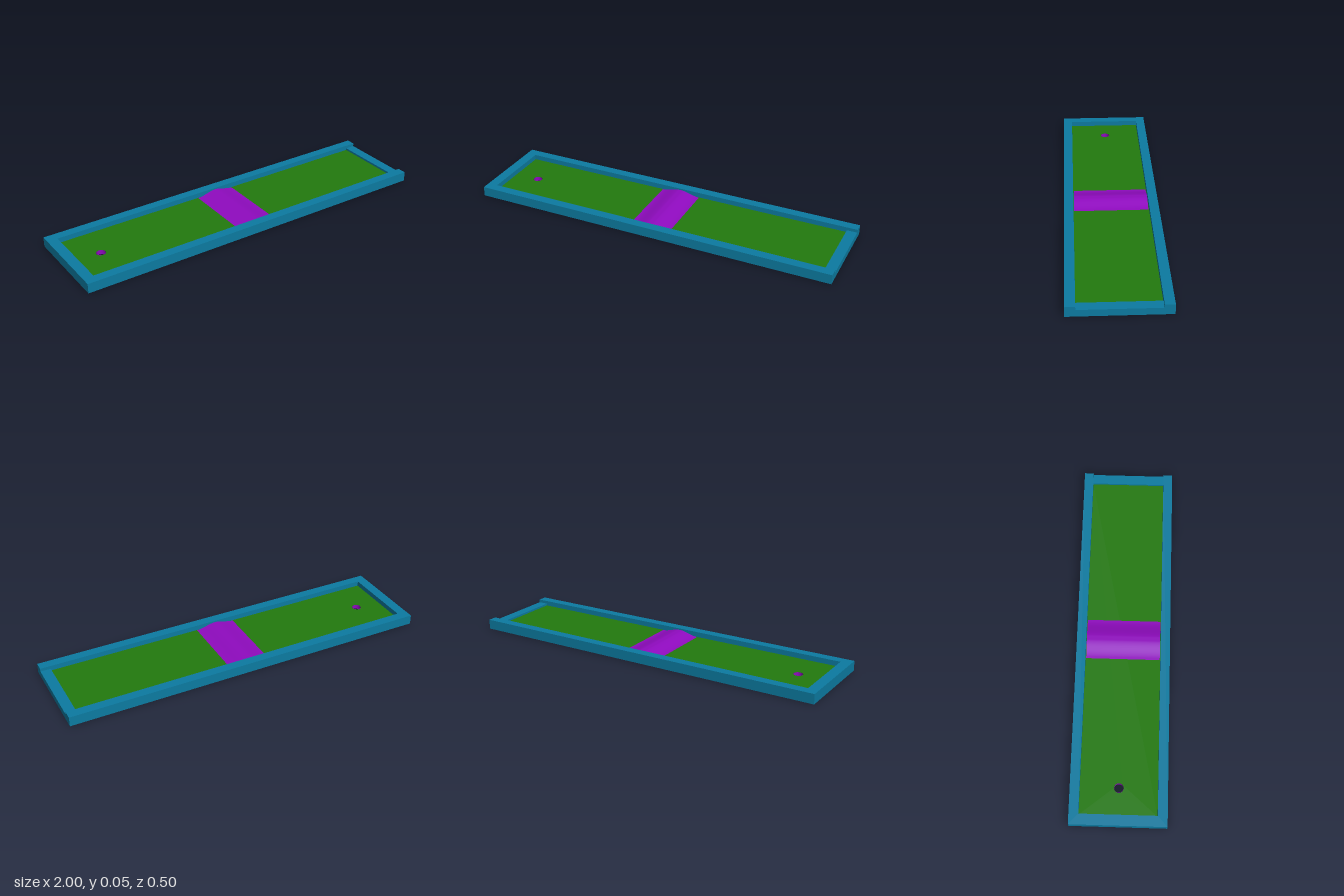
import * as THREE from 'three';
import { toCreasedNormals } from 'three/addons/utils/BufferGeometryUtils.js';

const frameBlue = new THREE.MeshStandardMaterial({ name: 'frameBlue', color: 0x0c7ba1 });
const turfGreen = new THREE.MeshStandardMaterial({ name: 'turfGreen', color: 0x237a0e });
const purple = new THREE.MeshStandardMaterial({ name: 'purple', color: 0x900bc0, side: THREE.DoubleSide });

const WALL_H = 0.053, LOW_H = 0.036, TURF_H = 0.025;
const HALF_X = 1, HALF_Z = 0.25, IN_X = 0.945, IN_Z = 0.2;
const HOLE_X = -0.805, HOLE_R = 0.025;

export function createModel() {
  const model = new THREE.Group();
  model.name = 'miniGolfLane';

  const add = (name, geometry, material, x = 0, y = 0, z = 0) => {
    const mesh = new THREE.Mesh(geometry, material);
    mesh.name = name;
    mesh.position.set(x, y, z);
    model.add(mesh);
    return mesh;
  };

  // Frame: a U-shaped kerb, open at the +x end
  const kerb = new THREE.Shape([
    [-HALF_X, -HALF_Z], [HALF_X, -HALF_Z], [HALF_X, -IN_Z], [-IN_X, -IN_Z],
    [-IN_X, IN_Z], [HALF_X, IN_Z], [HALF_X, HALF_Z], [-HALF_X, HALF_Z],
  ].map(([x, y]) => new THREE.Vector2(x, y)));
  const kerbGeometry = new THREE.ExtrudeGeometry(kerb, { depth: WALL_H, bevelEnabled: false });
  add('frameKerb', kerbGeometry.rotateX(-Math.PI / 2), frameBlue);

  // Low sill closing the open end
  const sillW = HALF_X - IN_X;
  add('lowEndSill', new THREE.BoxGeometry(sillW, LOW_H, IN_Z * 2), frameBlue,
    HALF_X - sillW / 2, LOW_H / 2, 0);

  // Turf slab with the cup hole cut through it
  const turf = new THREE.Shape([
    [-IN_X, -IN_Z], [IN_X, -IN_Z], [IN_X, IN_Z], [-IN_X, IN_Z],
  ].map(([x, y]) => new THREE.Vector2(x, y)));
  turf.holes.push(new THREE.Path().absarc(HOLE_X, 0, HOLE_R, 0, Math.PI * 2, true));
  const turfGeometry = new THREE.ExtrudeGeometry(turf, {
    depth: TURF_H, bevelEnabled: false, curveSegments: 12,
  });
  add('turf', turfGeometry.rotateX(-Math.PI / 2), turfGreen);

  // Open tube lining the hole
  add('holeLining', new THREE.CylinderGeometry(HOLE_R - 0.001, HOLE_R - 0.001, TURF_H, 24, 1, true),
    purple, HOLE_X, TURF_H / 2, 0);

  // Bump: smooth bell profile across the lane
  const bumpHalf = 0.11, bumpRise = 0.021, bumpZ = 0.197, steps = 24;
  const points = [];
  for (let i = 0; i <= steps; i++) {
    const t = (i / steps) * 2 - 1;
    points.push(new THREE.Vector2(-t * bumpHalf, bumpRise * 0.5 * (1 + Math.cos(Math.PI * t))));
  }
  const bump = new THREE.ExtrudeGeometry(new THREE.Shape(points), {
    depth: bumpZ * 2, bevelEnabled: false,
  });
  add('bump', toCreasedNormals(bump, 0.6), purple, 0, TURF_H + 0.0005, -bumpZ);

  return model;
}
